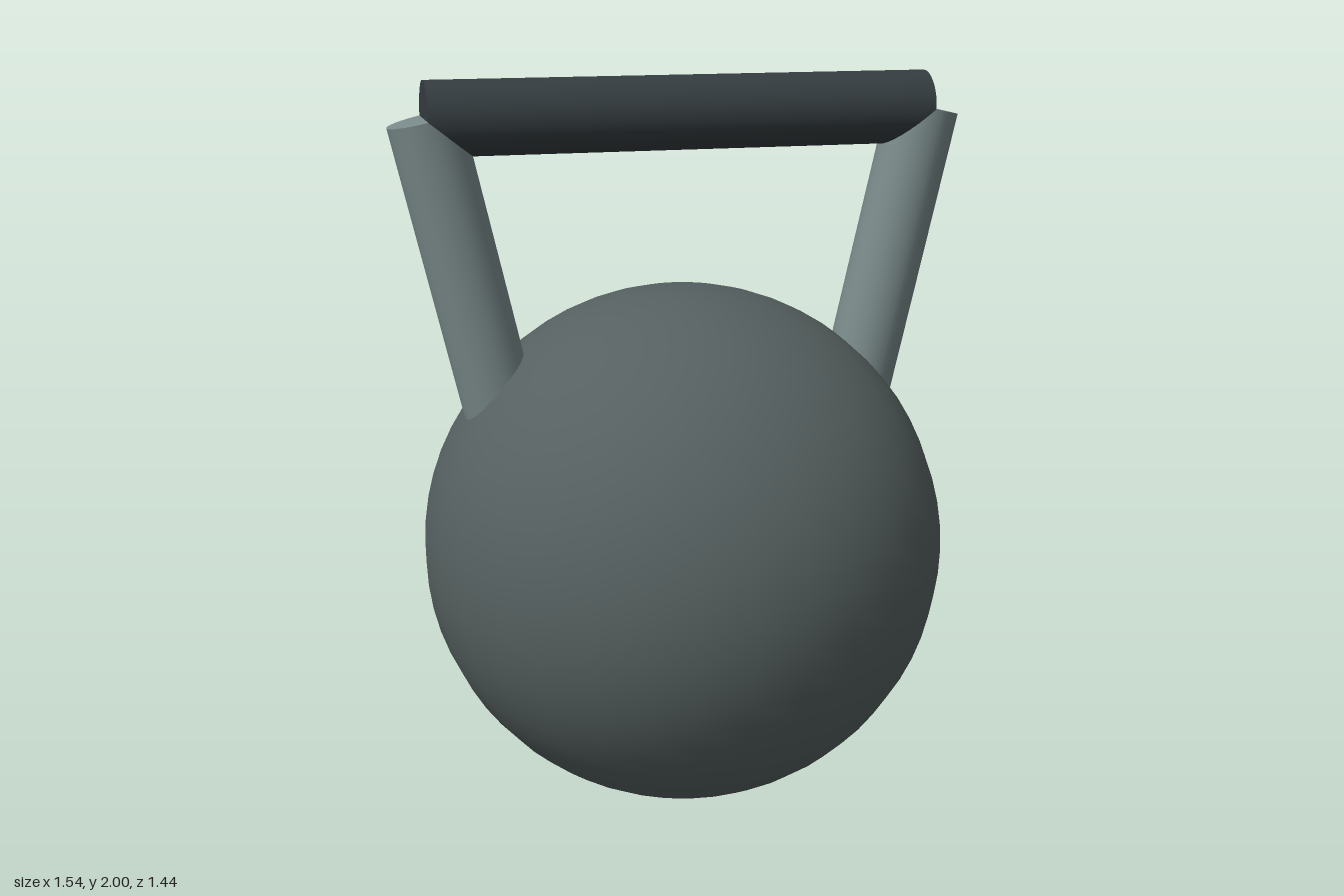
import * as THREE from 'three';

const UP = new THREE.Vector3(0, 1, 0);

// Capped cylinder running from point a to point b
function rod(name, a, b, radius, material) {
  const dir = b.clone().sub(a);
  const mesh = new THREE.Mesh(new THREE.CylinderGeometry(radius, radius, dir.length(), 32), material);
  mesh.name = name;
  mesh.position.copy(a).add(b).multiplyScalar(0.5);
  mesh.quaternion.setFromUnitVectors(UP, dir.normalize());
  return mesh;
}

export function createModel() {
  const group = new THREE.Group();
  group.name = 'kettlebell';
  const ballMaterial = new THREE.MeshStandardMaterial({ color: 0x566060 });
  const armMaterial = new THREE.MeshStandardMaterial({ color: 0x7a8a8a });
  const gripMaterial = new THREE.MeshStandardMaterial({ color: 0x343c3f });

  // Round weight
  const ball = new THREE.Mesh(new THREE.SphereGeometry(0.718, 32, 32), ballMaterial);
  ball.name = 'ball';
  ball.position.y = 0.72;
  group.add(ball);

  // Splayed arms, sunk into the ball
  const gripY = 1.903, gripX = 0.675, radius = 0.097;
  for (const [side, name] of [[1, 'leftArm'], [-1, 'rightArm']]) {
    const bottom = new THREE.Vector3(side * 0.465, 0.96, 0);
    const top = new THREE.Vector3(side * gripX, gripY, 0);
    group.add(rod(name, bottom, top, radius, armMaterial));
  }

  // Horizontal grip between the arm tops
  group.add(rod('grip', new THREE.Vector3(-gripX, gripY, 0), new THREE.Vector3(gripX, gripY, 0), radius, gripMaterial));

  return group;
}
